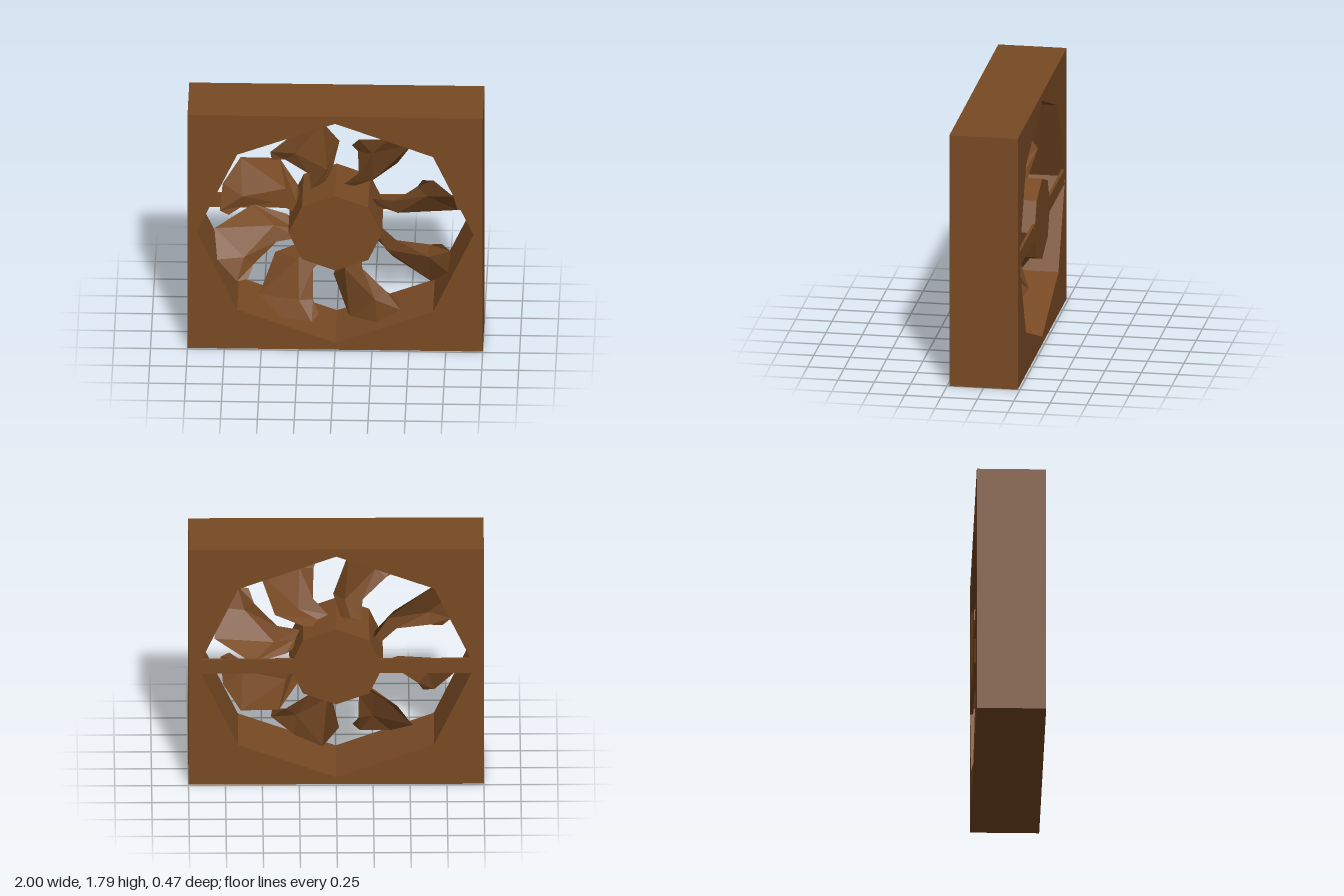
import * as THREE from 'three';

const CY = 0.893;      // height of the fan axis
const DEPTH = 0.47;
const SQUASH = 0.9;    // the fan is slightly flattened vertically

// Cupped, twisted blade: rows from root to tip, each trailing edge, ridge, leading edge
const BLADE_ROWS = [
  [[-0.13, 0.22, 0.0], [-0.12, 0.22, -0.02], [-0.11, 0.22, -0.06]],
  [[-0.17, 0.25, 0.02], [-0.10, 0.28, 0.0], [-0.03, 0.34, -0.09]],
  [[-0.18, 0.40, 0.06], [-0.06, 0.42, 0.03], [0.02, 0.566, -0.14]],
  [[-0.34, 0.555, 0.12], [-0.27, 0.62, 0.14], [-0.09, 0.823, 0.03]],
  [[-0.43, 0.59, 0.18], [-0.44, 0.666, 0.2], [-0.28, 0.80, 0.16]],
];

function bladeGeometry() {
  const index = [];
  for (let r = 0; r < BLADE_ROWS.length - 1; r++) {
    for (let c = 0; c < 2; c++) {
      const a = r * 3 + c, b = a + 1, d = a + 3, e = a + 4;
      index.push(a, b, e, a, e, d);
    }
  }
  const g = new THREE.BufferGeometry();
  g.setAttribute('position', new THREE.Float32BufferAttribute(BLADE_ROWS.flat(2), 3));
  g.setIndex(index);
  const flat = g.toNonIndexed();
  flat.computeVertexNormals();
  return flat;
}

export function createModel() {
  const model = new THREE.Group();
  model.name = 'boxFan';
  const brown = new THREE.MeshStandardMaterial({ color: 0x784a24, flatShading: true });
  brown.name = 'brown';
  const brownThin = brown.clone();
  brownThin.name = 'brown sheet';
  brownThin.side = THREE.DoubleSide;

  const add = (parent, name, geometry, material = brown) => {
    const mesh = new THREE.Mesh(geometry, material);
    mesh.name = name;
    parent.add(mesh);
    return mesh;
  };

  // Square housing with an eight-sided opening
  const outline = new THREE.Shape([
    [-1, 0], [1, 0], [1, 1.786], [-1, 1.786],
  ].map(([x, y]) => new THREE.Vector2(x, y)));
  const opening = [];
  for (let i = 0; i < 8; i++) {
    const t = (i * Math.PI) / 4;
    opening.push(new THREE.Vector2(0.938 * Math.cos(t), CY + 0.84 * Math.sin(t)));
  }
  outline.holes.push(new THREE.Path(opening));
  const housing = new THREE.ExtrudeGeometry(outline, { depth: DEPTH, bevelEnabled: false });
  housing.translate(0, 0, -DEPTH / 2);
  add(model, 'housing', housing);

  // Thin crossbar at the back that carries the hub
  add(model, 'crossbar', new THREE.BoxGeometry(1.87, 0.105, 0.02))
    .position.set(0, CY + 0.004, -DEPTH / 2 + 0.011);

  // Rotor: hub and eight blades
  const rotor = new THREE.Group();
  rotor.name = 'rotor';
  rotor.position.y = CY;
  rotor.scale.y = SQUASH;
  model.add(rotor);
  add(rotor, 'hub', new THREE.CylinderGeometry(0.317, 0.317, DEPTH, 8).rotateX(Math.PI / 2));
  const blade = bladeGeometry();
  for (let i = 0; i < 8; i++) {
    add(rotor, 'blade', blade, brownThin).rotation.z = (i * Math.PI) / 4;
  }
  return model;
}
